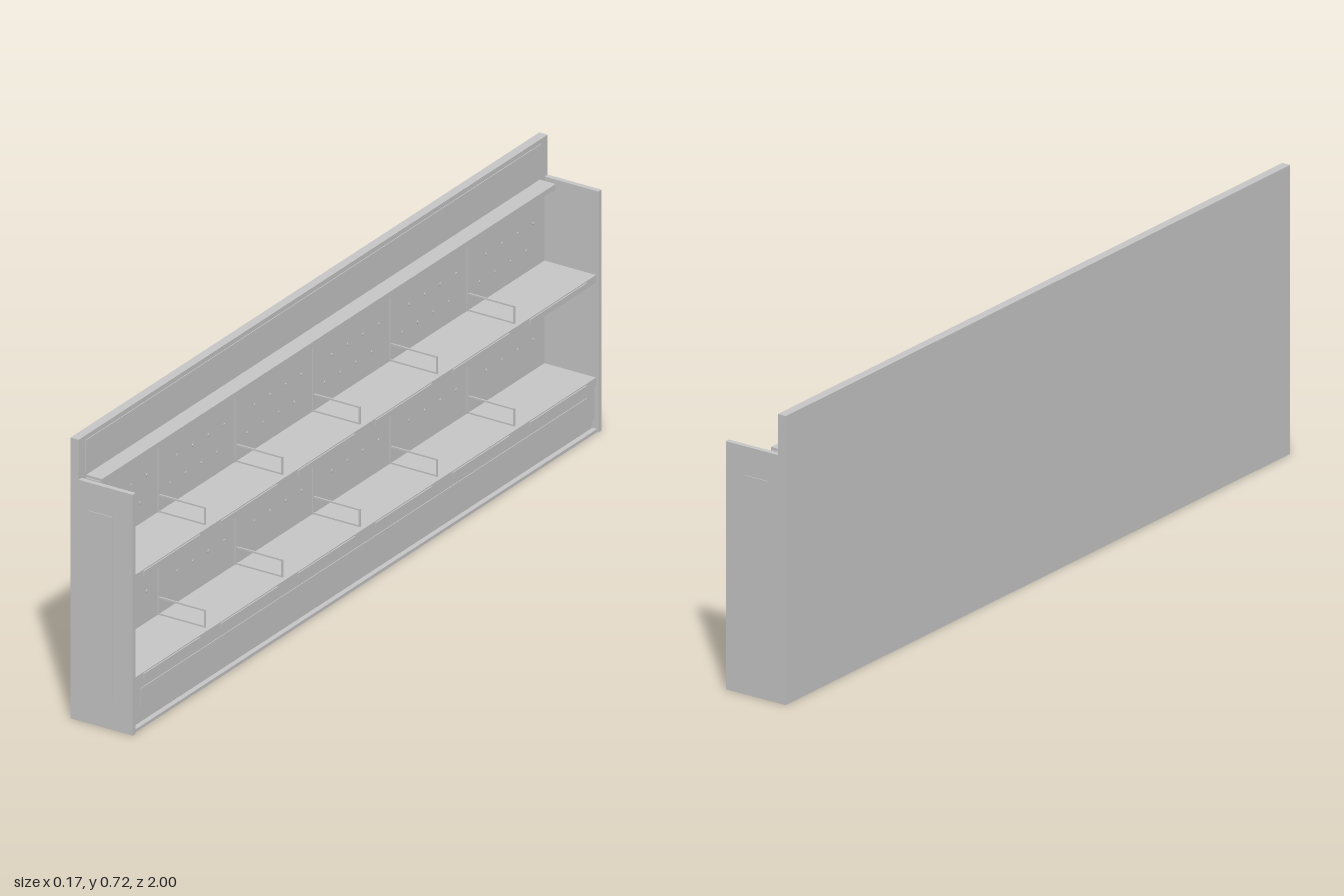
import * as THREE from 'three';

export function createModel() {
  const root = new THREE.Group();
  const gray = new THREE.MeshStandardMaterial({ color: 0xc8c8c8 });
  gray.name = 'light gray metal';

  // Box given by its min and max corners on each axis
  function box(name, x0, x1, y0, y1, z0, z1, parent = root) {
    const mesh = new THREE.Mesh(new THREE.BoxGeometry(x1 - x0, y1 - y0, z1 - z0), gray);
    mesh.position.set((x0 + x1) / 2, (y0 + y1) / 2, (z0 + z1) / 2);
    mesh.name = name;
    parent.add(mesh);
    return mesh;
  }

  const BACK = -0.064;
  const IN = 0.985; // inner face of the end panels
  const BAYS = 6;
  const pitch = 0.329;

  // Back wall, its base rail and the raised header plate
  box('backPanel', -0.087, BACK, 0.02, 0.725, -0.998, 0.998);
  box('backBaseRail', -0.086, BACK, 0, 0.02, -0.998, 0.998);
  box('headerPlate', BACK, -0.062, 0.632, 0.713, -0.97, 0.97);

  // End panels with a thin raised cover plate
  for (const s of [-1, 1]) {
    const end = new THREE.Group();
    end.name = s > 0 ? 'leftEnd' : 'rightEnd';
    root.add(end);
    const span = (a, b) => (s > 0 ? [a, b] : [-b, -a]);
    box('endPanel', BACK, 0.087, 0, 0.622, ...span(IN, 0.998), end);
    box('endCoverPlate', -0.036, 0.03, 0.08, 0.55, ...span(0.998, 1), end);
    box('canopyBracket', BACK, -0.025, 0.598, 0.615, ...span(0.962, 0.968), end);
  }

  // Narrow canopy over the upper shelf
  box('canopy', BACK, -0.02, 0.615, 0.622, -0.965, 0.965);
  box('canopyLip', -0.024, -0.02, 0.608, 0.615, -0.965, 0.965);

  // Base: floor, recessed toe strip, kick panel and its face plate
  box('baseFloor', BACK, 0.083, 0, 0.008, -IN, IN);
  box('toeStrip', 0.06, 0.07, 0.008, 0.03, -IN, IN);
  box('kickPanel', 0.065, 0.076, 0.03, 0.12, -IN, IN);
  box('kickFacePlate', 0.076, 0.078, 0.05, 0.1, -0.95, 0.95);

  // Shelves with price rails, label holders and wire dividers
  for (const top of [0.14, 0.405]) {
    const shelf = new THREE.Group();
    shelf.name = top > 0.3 ? 'upperShelf' : 'lowerShelf';
    root.add(shelf);
    box('shelfBoard', BACK, 0.078, top - 0.014, top, -IN, IN, shelf);
    box('priceRail', 0.074, 0.08, top - 0.02, top, -IN, IN, shelf);
    for (let i = 0; i < BAYS; i++) {
      const z = (i - 2.5) * pitch;
      box('labelHolder', 0.08, 0.083, top - 0.017, top - 0.003, z - 0.12, z + 0.12, shelf);
    }
    for (let i = -2; i <= 2; i++) {
      const z = i * pitch;
      const w = 0.0018;
      box('dividerTopWire', BACK, 0.068, top + 0.042, top + 0.046, z - w, z + w, shelf);
      box('dividerBottomWire', BACK, 0.068, top, top + 0.004, z - w, z + w, shelf);
      box('dividerFrontWire', 0.064, 0.068, top, top + 0.046, z - w, z + w, shelf);
    }
  }

  // Support brackets below the upper shelf, and uprights on the seams
  for (let i = -2; i <= 2; i++) {
    const z = i * pitch;
    box('shelfBracket', BACK, -0.005, 0.367, 0.391, z - 0.006, z + 0.006);
    for (const [y0, y1] of [[0.14, 0.391], [0.405, 0.615]]) {
      box('upright', BACK, -0.061, y0, y1, z - 0.005, z + 0.005);
    }
  }

  // Small studs scattered over the back wall of each bay
  const stud = new THREE.CylinderGeometry(0.004, 0.004, 0.002, 8).rotateZ(-Math.PI / 2);
  const rows = [0.22, 0.28, 0.34, 0.46, 0.52, 0.58];
  for (let bay = 0; bay < BAYS; bay++) {
    rows.forEach((y, r) => {
      for (const dz of [-0.1, -0.033, 0.033, 0.1]) {
        const m = new THREE.Mesh(stud, gray);
        m.name = 'backStud';
        m.position.set(BACK + 0.001, y, (bay - 2.5) * pitch + dz + (r % 2 ? 0.015 : -0.015));
        root.add(m);
      }
    });
  }

  return root;
}
